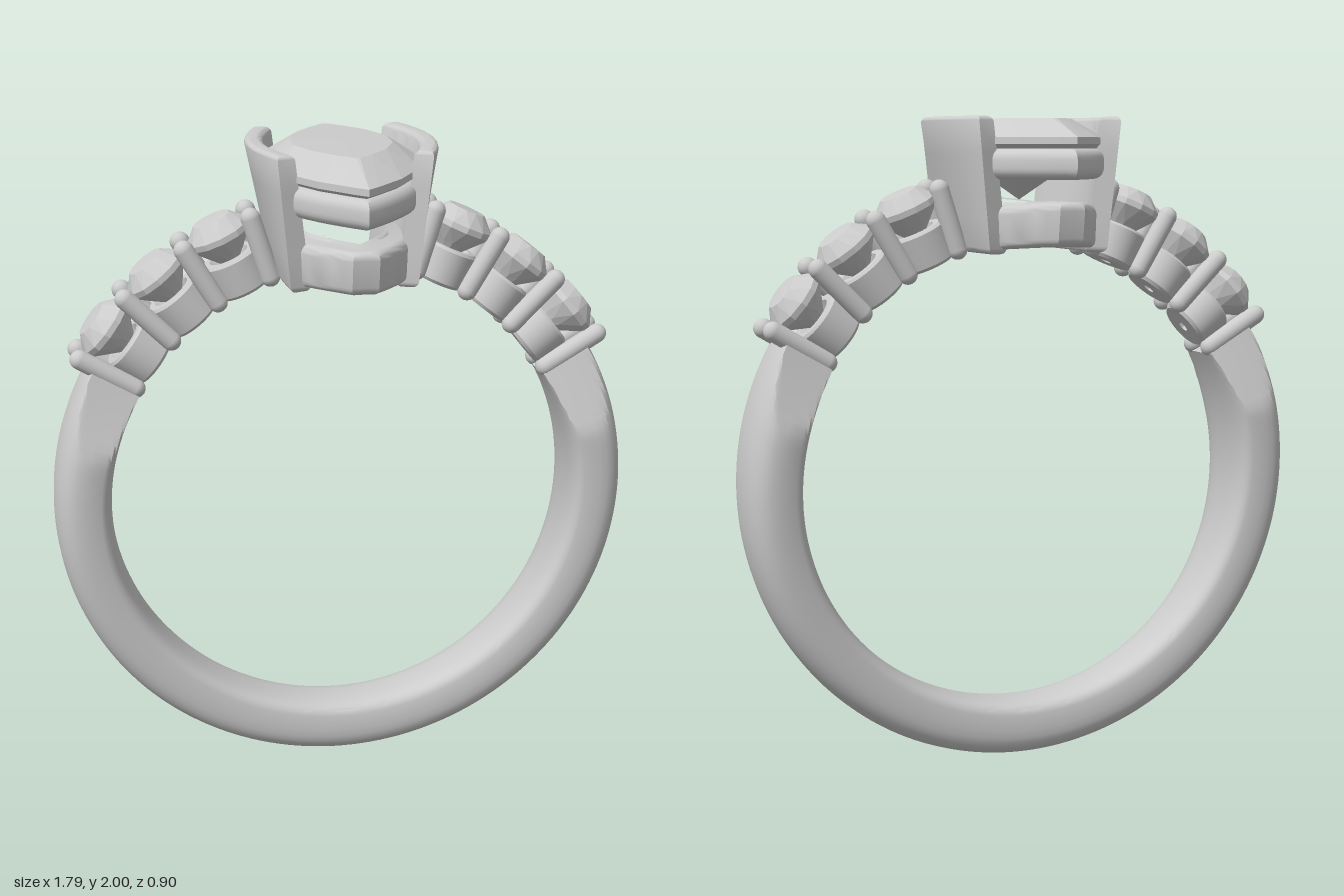
import * as THREE from 'three';
import { toCreasedNormals } from 'three/addons/utils/BufferGeometryUtils.js';

const CENTRE = 0.895, INNER = 0.72, OUTER = 0.895;
const metal = new THREE.MeshStandardMaterial({ color: 0xcccccc });
const facet = new THREE.MeshStandardMaterial({ color: 0xcccccc, flatShading: true });
const rad = THREE.MathUtils.degToRad;

function mesh(name, geometry, material = metal) {
  const m = new THREE.Mesh(geometry, material);
  m.name = name;
  return m;
}

function buildGeometry(pos, idx) {
  const g = new THREE.BufferGeometry();
  g.setAttribute('position', new THREE.Float32BufferAttribute(pos, 3));
  g.setIndex(idx);
  return g;
}

function moveVertices(g, rule) {
  const p = g.attributes.position, v = new THREE.Vector3();
  for (let i = 0; i < p.count; i++) {
    v.fromBufferAttribute(p, i);
    rule(v);
    p.setXYZ(i, v.x, v.y, v.z);
  }
  return g;
}

// Domed shank: wide at the shoulders, with flat cuts tapering to its ends
function bandGeometry() {
  const N = 120, M = 32, pos = [], idx = [];
  const pw = (v, e) => Math.sign(v) * Math.abs(v) ** e;
  const mid = (INNER + OUTER) / 2, half = (OUTER - INNER) / 2;
  for (let j = 0; j <= N; j++) {
    const deg = -210 + 240 * j / N, a = rad(deg);
    const h = CENTRE + OUTER * Math.sin(a);
    const w = 0.095 + 0.055 * THREE.MathUtils.clamp(h / 1.1, 0, 1);
    const up = Math.max(deg, -180 - deg);
    const cut = 0.15 - 0.065 * THREE.MathUtils.clamp((up - 13) / 17, 0, 1);
    for (let i = 0; i < M; i++) {
      const s = i / M * Math.PI * 2, c = Math.cos(s);
      const r = mid + half * pw(c, c > 0 ? 0.8 : 0.35);
      const z = THREE.MathUtils.clamp(w * pw(Math.sin(s), 0.8), -cut, cut);
      pos.push(r * Math.cos(a), CENTRE + r * Math.sin(a), z);
    }
  }
  for (let j = 0; j < N; j++) for (let i = 0; i < M; i++) {
    const k = (i + 1) % M, a = j * M + i, b = a + M, c = (j + 1) * M + k, d = j * M + k;
    idx.push(a, b, c, a, c, d);
  }
  // End caps
  for (const [row, deg, flip] of [[0, -210, false], [N, 30, true]]) {
    const centre = pos.length / 3;
    pos.push(mid * Math.cos(rad(deg)), CENTRE + mid * Math.sin(rad(deg)), 0);
    for (let i = 0; i < M; i++) {
      const a = row * M + i, b = row * M + (i + 1) % M;
      idx.push(centre, flip ? b : a, flip ? a : b);
    }
  }
  return toCreasedNormals(buildGeometry(pos, idx), 0.6);
}

// Gem from rings [y, scale, half-step twist], listed top to bottom
function gemGeometry(outline, n, levels) {
  const pos = [], idx = [];
  for (const [y, s, twist] of levels) for (let i = 0; i < n; i++) {
    const [x, z] = outline((i + twist) / n * Math.PI * 2);
    pos.push(x * s, y, z * s);
  }
  for (let l = 0; l < levels.length - 1; l++) {
    const forward = levels[l + 1][2] > levels[l][2];
    for (let i = 0; i < n; i++) {
      const k = (i + 1) % n, a = l * n + i, a2 = l * n + k, b = a + n, b2 = a2 + n;
      if (forward) idx.push(a, b, a2, b, b2, a2);
      else idx.push(b, b2, a, a, b2, a2);
    }
  }
  const g = buildGeometry(pos, idx).toNonIndexed();
  g.computeVertexNormals();
  return g;
}

// Pointed oval outline, x = W, z = L
const marquise = (W, L) => t => [W * Math.sin(t) * Math.abs(Math.sin(t)), L * Math.cos(t)];

function marquisePoints(W, L, cut = L) {
  return Array.from({ length: 48 }, (_, i) => {
    const [x, z] = marquise(W, L)(i / 48 * Math.PI * 2);
    return new THREE.Vector2(x, THREE.MathUtils.clamp(z, -cut, cut));
  });
}

// Extrude a plan shape upward between y0 and y1 with rounded edges
function slab(shape, y0, y1, bevel, steps = 1) {
  const g = new THREE.ExtrudeGeometry(shape, {
    depth: y1 - y0 - 2 * bevel, steps, bevelSize: bevel, bevelThickness: bevel, bevelSegments: 5
  });
  return g.rotateX(-Math.PI / 2).translate(0, y0 + bevel, 0);
}

function railGeometry(outer, inner, y0, y1, bevel) {
  const shape = new THREE.Shape(marquisePoints(...outer));
  shape.holes.push(new THREE.Path(marquisePoints(...inner)));
  return slab(shape, y0, y1, bevel);
}

// Curved side wall of the head, leaning outward toward the top
function wallGeometry() {
  const pts = [], bevel = 0.018, n = 16;
  for (const [offset, dir] of [[0.01, 1], [-0.01, -1]]) for (let i = 0; i <= n; i++) {
    const t = dir * (i / n * 2 - 1);
    const bow = 0.258 - 0.05 * t * t, slope = 0.43 * t;
    pts.push(new THREE.Vector2(bow + offset, 0.228 * t + offset * slope));
  }
  const g = slab(new THREE.Shape(pts), 1.595, 2.0, bevel, 4);
  moveVertices(g, v => {
    const down = (2 - v.y) / 0.4;
    v.x -= down * (0.085 - 0.7 * v.z * v.z);
    v.z *= 1 - 0.05 * down;
  });
  return toCreasedNormals(g, 0.7);
}

// Group whose local y axis points outward from the finger at an angle
function radial(name, deg, ...parts) {
  const g = new THREE.Group();
  g.name = name;
  g.position.y = CENTRE;
  g.rotation.z = rad(deg - 90);
  g.add(...parts);
  return g;
}

export function createModel() {
  const model = new THREE.Group();
  model.name = 'ring';
  model.add(mesh('band', bandGeometry()));

  // Centre stone
  model.add(mesh('centreStone', gemGeometry(marquise(0.24, 0.447), 16, [
    [1.996, 0.001, 0.5], [1.994, 0.64, 0.5], [1.938, 1, 0], [1.918, 1, 0],
    [1.84, 0.52, 0.5], [1.75, 0.001, 0]
  ]), facet));

  // Gallery rails under the stone
  model.add(mesh('upperRail', toCreasedNormals(
    railGeometry([0.215, 0.405], [0.165, 0.33], 1.815, 1.905, 0.033), 0.7)));
  const lower = railGeometry([0.185, 0.43, 0.395], [0.13, 0.31], 1.622, 1.752, 0.025);
  moveVertices(lower, v => {
    v.z *= 1 - 0.35 * (1.752 - v.y);
    v.y -= v.x * v.x / (2 * INNER);
  });
  model.add(mesh('lowerRail', toCreasedNormals(lower, 0.7)));

  // Side walls holding the centre stone
  const wall = wallGeometry();
  for (const turn of [0, Math.PI]) {
    const m = mesh(turn ? 'rightWall' : 'leftWall', wall);
    m.rotation.y = turn;
    model.add(m);
  }

  // Accent stones, seats and prongs along both shoulders
  const round = gemGeometry(t => [0.102 * Math.sin(t), 0.102 * Math.cos(t)], 12, [
    [0.962, 0.001, 0.5], [0.96, 0.58, 0.5], [0.918, 1, 0], [0.9, 1, 0],
    [0.85, 0.55, 0.5], [0.79, 0.001, 0]
  ]);
  const seat = toCreasedNormals(new THREE.LatheGeometry([
    [0.018, 0.76], [0.018, 0.722], [0.076, 0.722], [0.086, 0.732], [0.09, 0.83],
    [0.082, 0.838], [0.062, 0.838], [0.018, 0.76]
  ].map(p => new THREE.Vector2(...p)), 32), 0.6);
  const prong = new THREE.CapsuleGeometry(0.03, 0.19, 6, 16).translate(0, 0.837, 0);
  const crossbar = new THREE.CylinderGeometry(0.018, 0.018, 0.12, 12)
    .rotateX(Math.PI / 2).translate(0, 0.78, 0);

  for (const side of ['left', 'right']) {
    const turn = deg => side === 'left' ? deg : 180 - deg;
    for (const deg of [38, 52, 66]) {
      model.add(radial(side + 'Accent', turn(deg),
        mesh('accentStone', round, facet), mesh('seat', seat)));
    }
    for (const deg of [31, 45, 59, 72.5]) {
      const pair = [-0.058, 0.058].map(z => {
        const m = mesh('prong', prong);
        m.position.z = z;
        return m;
      });
      model.add(radial(side + 'Prongs', turn(deg), ...pair, mesh('crossbar', crossbar)));
    }
  }
  return model;
}
